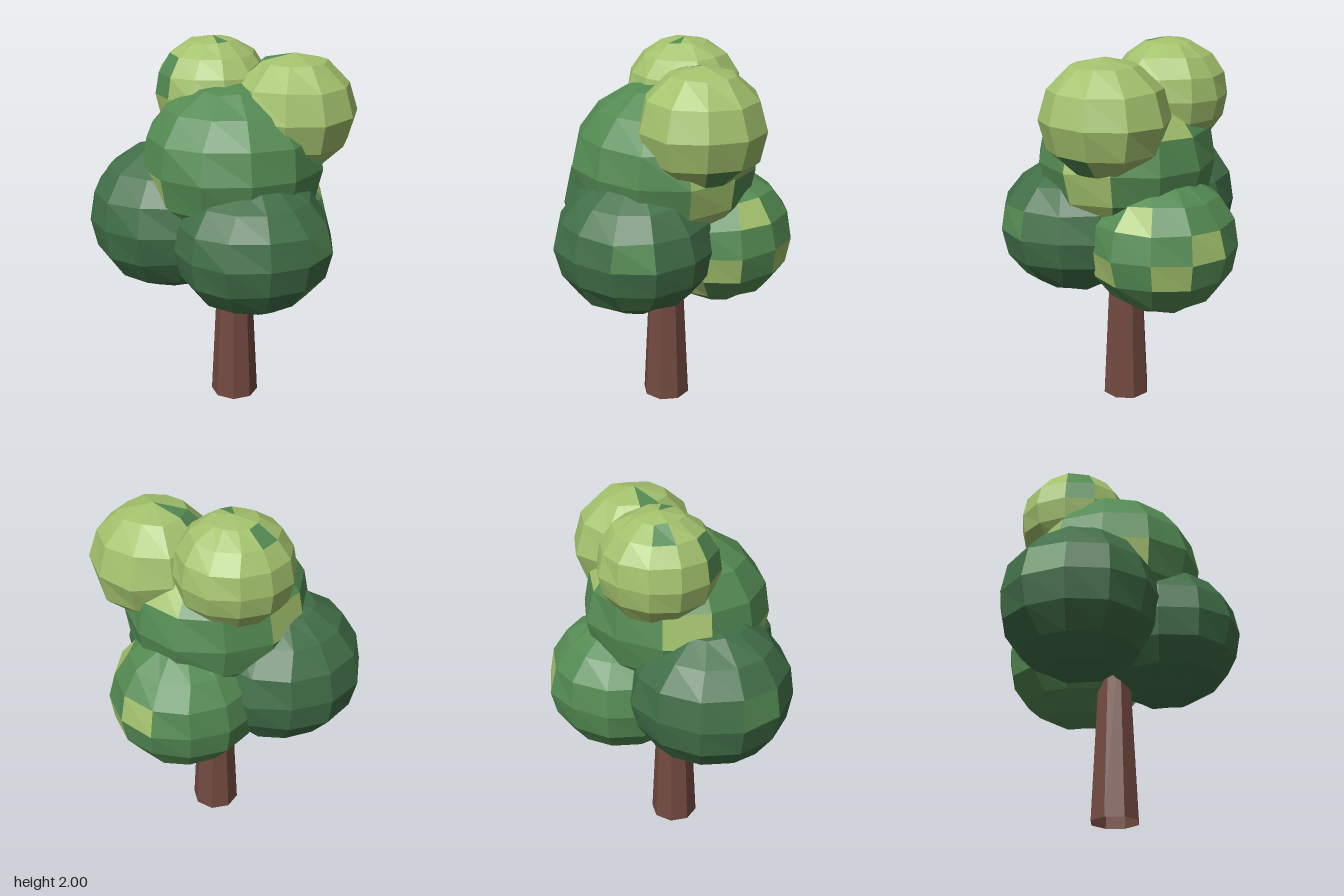
import * as THREE from 'three';

const flat = (name, color) => {
  const m = new THREE.MeshStandardMaterial({ color, flatShading: true });
  m.name = name;
  return m;
};

// Repeatable offset in -1..1 from a position, so seam and pole points stay joined
function wobble(x, y, z, k) {
  const q = (v) => Math.round(v * 100);
  const s = Math.sin(q(x) * 12.9898 + q(y) * 78.233 + q(z) * 37.719 + k * 11.17) * 43758.5453;
  return (s - Math.floor(s)) * 2 - 1;
}

// Faceted, slightly uneven leaf ball; each patch direction recolours the facet it points at
function leafBall({ name, at, size, cols, rows, turn = 0, base, accent, patches }) {
  const sphere = new THREE.SphereGeometry(1, cols, rows, turn);
  const pos = sphere.attributes.position;
  for (let i = 0; i < pos.count; i++) {
    const p = [pos.getX(i), pos.getY(i), pos.getZ(i)];
    const amount = Math.abs(p[1]) > 0.99 ? 0 : 0.02;
    pos.setXYZ(i, ...p.map((v, k) => (v + wobble(...p, k) * amount) * size[k]));
  }
  const geo = sphere.toNonIndexed();
  geo.computeVertexNormals();

  const picked = new Set(patches.map(([x, y, z]) => {
    const theta = Math.acos(y / Math.hypot(x, y, z));
    const phi = (Math.atan2(z, -x) - turn + Math.PI * 4) % (Math.PI * 2);
    const row = Math.min(rows - 1, Math.floor((theta / Math.PI) * rows));
    return row * cols + Math.floor((phi / (Math.PI * 2)) * cols);
  }));

  // Runs of equal colour become material groups
  let start = 0, cursor = 0, current = 0;
  for (let f = 0; f < rows * cols; f++) {
    const row = Math.floor(f / cols);
    const which = picked.has(f) ? 1 : 0;
    if (which !== current) {
      if (cursor > start) geo.addGroup(start, cursor - start, current);
      start = cursor;
      current = which;
    }
    cursor += row === 0 || row === rows - 1 ? 3 : 6;
  }
  geo.addGroup(start, cursor - start, current);

  const mesh = new THREE.Mesh(geo, [base, accent]);
  mesh.name = name;
  mesh.position.set(...at);
  return mesh;
}

export function createModel() {
  const tree = new THREE.Group();
  tree.name = 'tree';
  const bark = flat('bark brown', 0x734a40);
  bark.side = THREE.DoubleSide;
  const light = flat('light leaf green', 0xa3c26d);
  const mid = flat('mid leaf green', 0x548b53);
  const dark = flat('dark leaf green', 0x416f48);

  // Tapered eight-sided trunk, open at the ends and running up inside the leaves
  const trunk = new THREE.Mesh(new THREE.CylinderGeometry(0.08, 0.13, 1, 8, 1, true), bark);
  trunk.name = 'trunk';
  trunk.position.set(0.02, 0.5, 0.005);
  tree.add(trunk);

  const balls = [
    // Three low balls around the trunk
    { name: 'lowerRightLeaves', at: [-0.26, 1.065, 0.23], size: [0.43, 0.4, 0.435], cols: 12, rows: 8,
      base: dark, accent: mid, patches: [[-0.75, 0.2, 0.6]] },
    { name: 'lowerLeftLeaves', at: [0.275, 1.01, 0.105], size: [0.41, 0.365, 0.43], cols: 12, rows: 8,
      base: dark, accent: mid, patches: [[0.95, 0.25, -0.1], [0.85, -0.55, -0.4]] },
    { name: 'lowerBackLeaves', at: [-0.085, 0.97, -0.265], size: [0.405, 0.37, 0.4], cols: 12, rows: 8,
      base: mid, accent: light,
      patches: [[0.95, -0.15, -0.3], [0.25, -0.2, -0.95], [-0.25, 0.2, -0.95],
        [0.55, 0.55, -0.6], [0.8, -0.55, 0.2]] },
    // Large middle ball
    { name: 'middleLeaves', at: [0.015, 1.38, 0.015], size: [0.48, 0.43, 0.495], cols: 12, rows: 8,
      base: mid, accent: light,
      patches: [[0.7, -0.15, -0.7], [0.7, -0.5, -0.7], [0.7, 0.2, -0.7],
        [-0.2, 0.5, -0.75], [-0.95, 0.2, 0.25], [-0.25, -0.2, 0.9]] },
    // Two light balls at the top
    { name: 'topRightLeaves', at: [-0.2, 1.71, -0.04], size: [0.315, 0.29, 0.315], cols: 12, rows: 8,
      base: light, accent: mid,
      patches: [[-0.25, 0.2, 0.95], [-0.22, 0.55, 0.8], [-0.55, 0.82, 0.14], [0.2, 0.97, 0.05]] },
    { name: 'topLeftLeaves', at: [0.215, 1.64, -0.23], size: [0.34, 0.305, 0.335], cols: 10, rows: 6,
      turn: Math.PI / 2, base: light, accent: mid,
      patches: [[-0.15, 0.97, 0.15], [-0.45, 0.72, 0.5], [0.72, -0.62, -0.62]] },
  ];
  balls.forEach((b) => tree.add(leafBall(b)));
  return tree;
}
